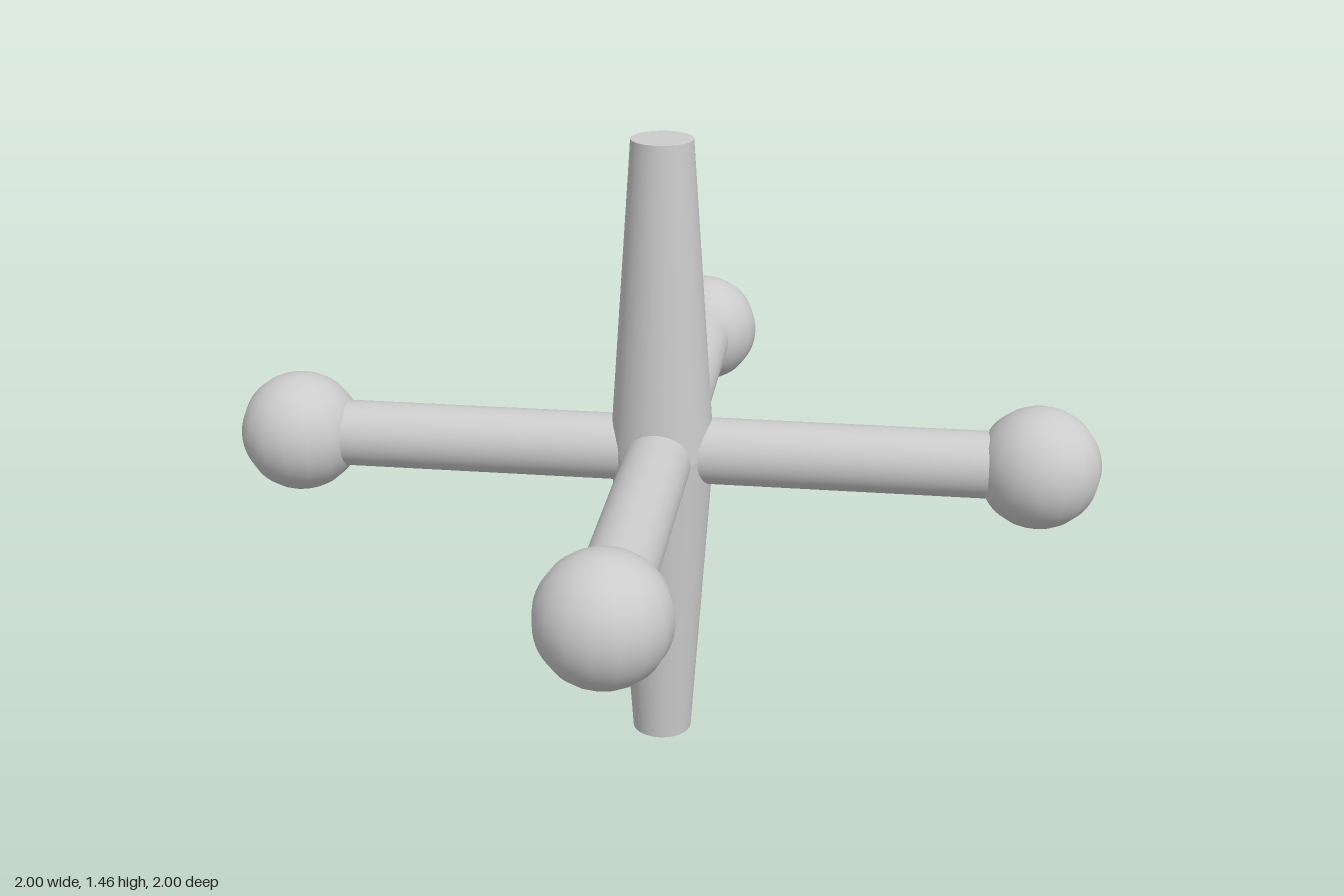
import * as THREE from 'three';

export function createModel() {
  const group = new THREE.Group();
  const material = new THREE.MeshStandardMaterial({ color: 0xcccccc });
  const midY = 0.73, armReach = 0.86;

  const add = (name, geometry, parent = group) => {
    const mesh = new THREE.Mesh(geometry, material);
    mesh.name = name;
    parent.add(mesh);
    return mesh;
  };

  // Spindle: two tapered halves, widest where they meet
  add('upperSpindle', new THREE.CylinderGeometry(0.07, 0.12, midY, 32)).position.y = midY * 1.5;
  add('lowerSpindle', new THREE.CylinderGeometry(0.12, 0.07, midY, 32)).position.y = midY * 0.5;

  // Four horizontal arms, each ending in a ball
  ['left', 'back', 'right', 'front'].forEach((side, i) => {
    const arm = new THREE.Group();
    arm.name = `${side}Arm`;
    arm.position.y = midY;
    arm.rotation.y = (i * Math.PI) / 2;
    group.add(arm);

    const rod = add(`${side}Rod`, new THREE.CylinderGeometry(0.077, 0.077, armReach, 32), arm);
    rod.rotation.z = Math.PI / 2;
    rod.position.x = armReach / 2;

    add(`${side}Ball`, new THREE.SphereGeometry(0.14, 16, 32), arm).position.x = armReach;
  });

  return group;
}
